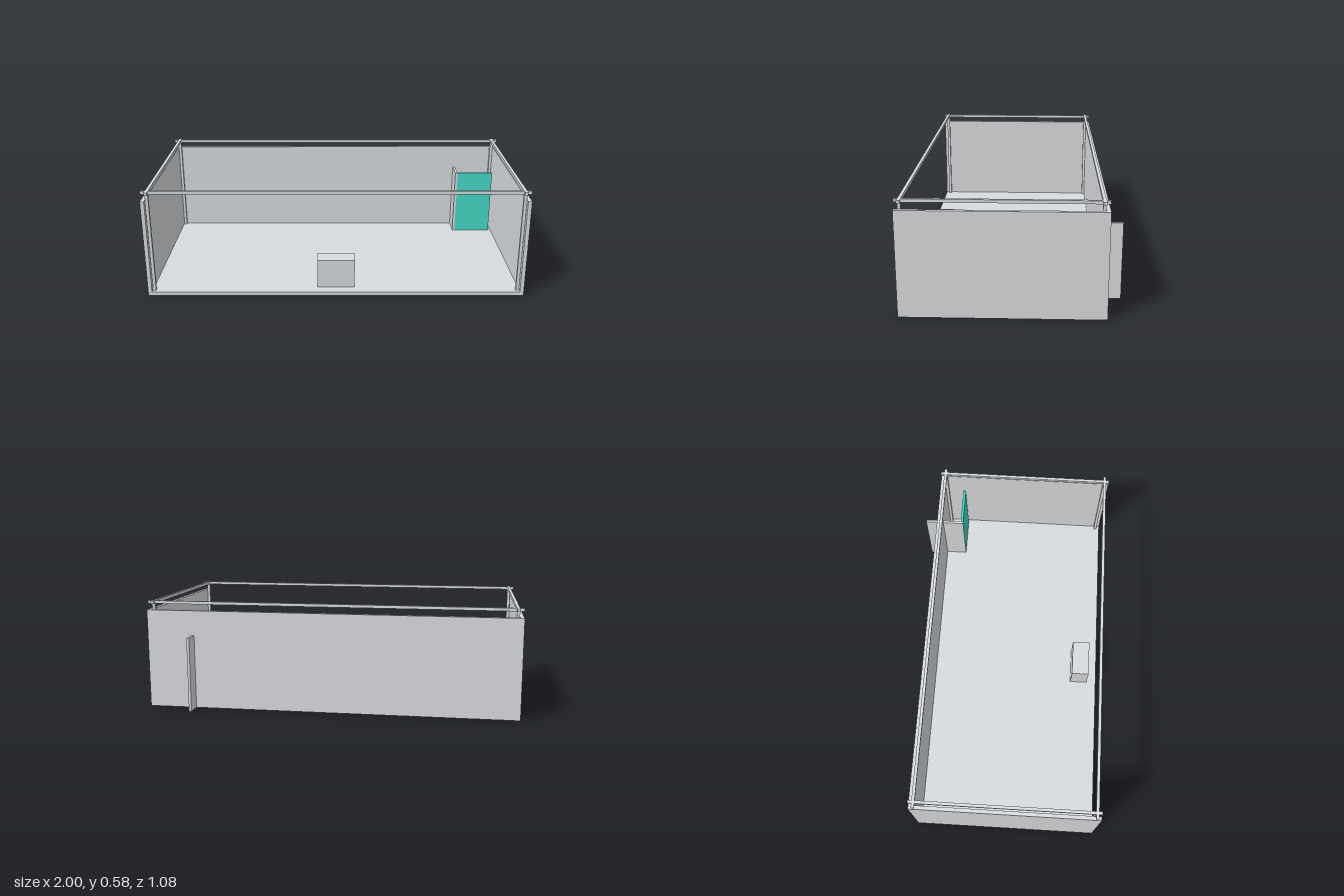
import * as THREE from 'three';

export function createModel() {
  const model = new THREE.Group();
  model.name = 'room';
  const grey = new THREE.MeshStandardMaterial({ color: 0xd9dcdf });
  grey.name = 'grey';
  const teal = new THREE.MeshStandardMaterial({ color: 0x47dac9 });
  teal.name = 'teal';

  // box given by its extents along each axis
  const slab = (name, [x0, x1], [y0, y1], [z0, z1], material = grey) => {
    const mesh = new THREE.Mesh(new THREE.BoxGeometry(x1 - x0, y1 - y0, z1 - z0), material);
    mesh.position.set((x0 + x1) / 2, (y0 + y1) / 2, (z0 + z1) / 2);
    mesh.name = name;
    model.add(mesh);
  };
  const around = (c, half) => [c - half, c + half];

  const back = -0.457, front = 0.54, wall = 0.0205, floorTop = 0.021, wallTop = 0.535;
  const railLow = 0.567, railTop = 0.583, half = 0.008;
  const postX = 0.969, postZ = [-0.428, 0.514];

  // shell, open at the front and top
  slab('floor', [-1 + wall, 1 - wall], [0, floorTop], [back + wall, front]);
  slab('backWall', [-1 + wall, 1 - wall], [0, wallTop], [back, back + wall]);
  slab('rightWall', [-1, -1 + wall], [0, wallTop], [back, front]);
  slab('leftWall', [1 - wall, 1], [0, wallTop], [back, front]);

  // frame of posts and overhead rails, crossing at the corners
  for (const x of [-postX, postX]) {
    for (const z of postZ) slab('cornerPost', around(x, half), [floorTop, railLow], around(z, half));
    slab('sideRail', around(x, half), [railLow, railTop], [back, front]);
  }
  for (const z of postZ) slab('crossRail', [-1, 1], [railLow, railTop], around(z, half));

  // counter near the front
  slab('counter', [-0.1, 0.1], [floorTop, 0.18], [0.386, 0.484]);

  // corner closet: partition running out through the back wall, and its door
  slab('partition', [0.739, 0.753], [0, 0.4], [-0.54, -0.317]);
  slab('door', [0.753, 0.965], [0, 0.4], [-0.332, -0.317], teal);

  return model;
}
